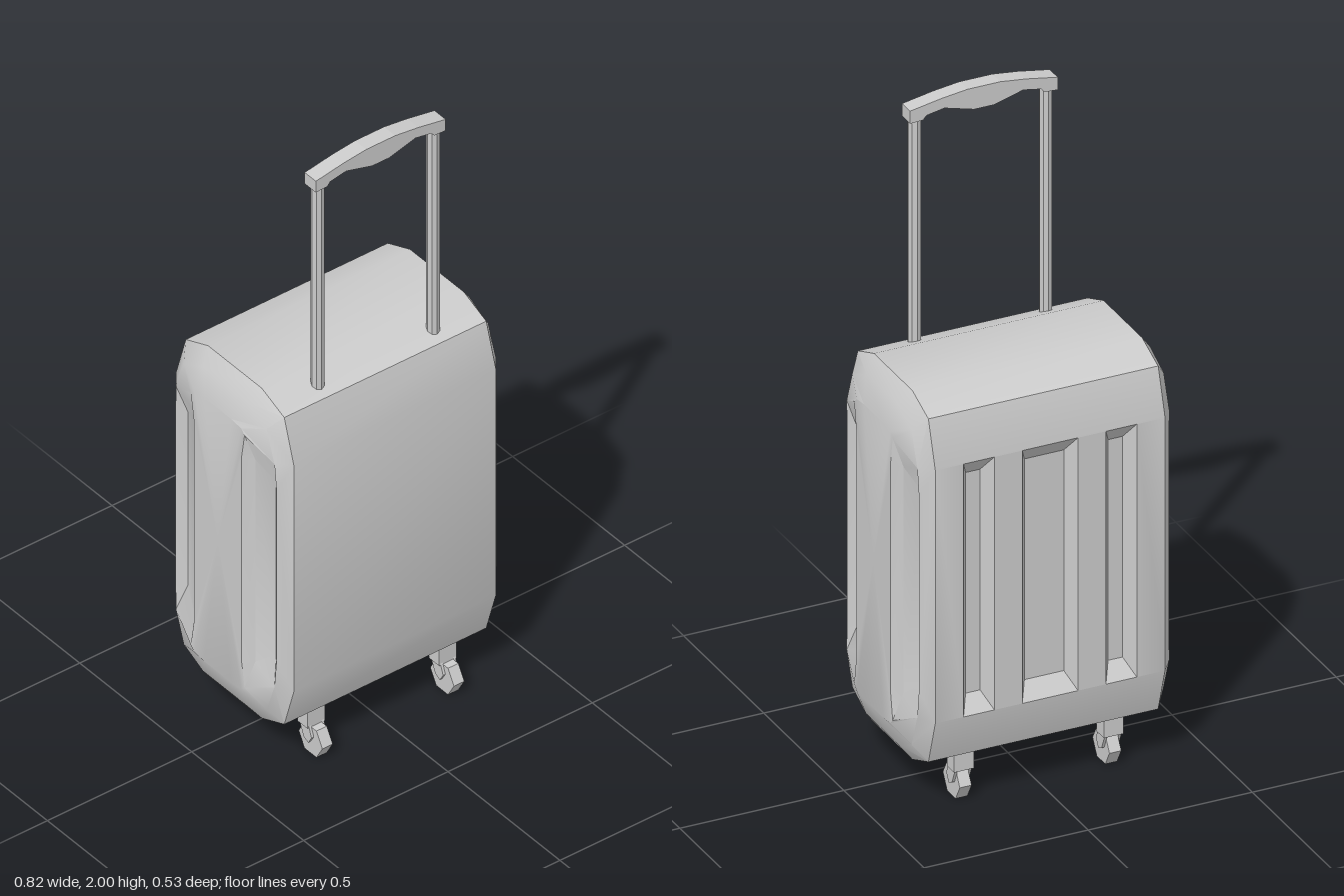
import * as THREE from 'three';
import { toCreasedNormals } from 'three/addons/utils/BufferGeometryUtils.js';

const material = new THREE.MeshStandardMaterial({ color: 0xcccccc });
const V = (x, y, z) => new THREE.Vector3(x, y, z);
const MID = 0.6925; // mid height of the case

function add(parent, name, geometry, x = 0, y = 0, z = 0) {
  const mesh = new THREE.Mesh(geometry, material);
  mesh.name = name;
  mesh.position.set(x, y, z);
  parent.add(mesh);
  return mesh;
}

// Closed 12-point outline in z/y from one quarter, mirrored both ways.
// Edge 2-3 is the long front edge, edge 8-9 the long back edge.
function ring(x, quarter) {
  const up = quarter.map(([z, y]) => [z, 2 * MID - y]).reverse();
  const half = [...quarter, ...up];
  const back = half.map(([z, y]) => [-z, y]).reverse();
  return [...half, ...back].map(([z, y]) => V(x, y, z));
}

// Collects convex polygons, turning each towards a given direction.
function surface() {
  const data = [];
  return {
    face(dir, ...p) {
      for (let i = 1; i < p.length - 1; i++) {
        const t = [p[0], p[i], p[i + 1]];
        const n = t[1].clone().sub(t[0]).cross(t[2].clone().sub(t[0]));
        if (n.dot(dir) < 0) t.reverse();
        t.forEach(v => data.push(v.x, v.y, v.z));
      }
    },
    build() {
      const g = new THREE.BufferGeometry();
      g.setAttribute('position', new THREE.Float32BufferAttribute(data, 3));
      return toCreasedNormals(g, 0.5);
    },
  };
}

const OUTER = [[0.12, 0.12], [0.22, 0.16], [0.263, 0.30]];
const MIDDLE = [[0.10, 0.165], [0.185, 0.205], [0.22, 0.305]];
const INNER = [[0.06, 0.235], [0.105, 0.24], [0.12, 0.255]];

function caseShell() {
  const s = surface();
  const L = ring(-0.35, OUTER), R = ring(0.35, OUTER);
  for (let i = 0; i < 12; i++) {
    if (i === 8) continue; // the back is made with its recesses
    const j = (i + 1) % 12;
    const out = L[i].clone().add(L[j]).multiplyScalar(0.5).sub(V(-0.35, MID, 0));
    s.face(out, L[i], R[i], R[j], L[j]);
  }
  // back wall: flat strips alternating with sunken panels
  const xs = [-0.35, -0.264, -0.17, -0.085, 0.085, 0.17, 0.264, 0.35];
  const back = V(0, 0, -1);
  const rect = (x0, x1, inX, inY, z) => [
    V(x0 + inX, 0.30 + inY, z), V(x1 - inX, 0.30 + inY, z),
    V(x1 - inX, 1.085 - inY, z), V(x0 + inX, 1.085 - inY, z)];
  for (let i = 0; i < 7; i++) {
    const rim = rect(xs[i], xs[i + 1], 0, 0, -0.263);
    if (i % 2 === 0) { s.face(back, ...rim); continue; }
    const floor = rect(xs[i], xs[i + 1], 0.025, 0.05, -0.225);
    s.face(back, ...floor);
    for (let k = 0; k < 4; k++) {
      const n = (k + 1) % 4;
      s.face(back, rim[k], rim[n], floor[n], floor[k]);
    }
  }
  return s.build();
}

// Domed side with a tapering channel near the front and the back edge.
function sidePanel(side) {
  const s = surface(), dir = V(side, 0, 0);
  const A = ring(0.35 * side, OUTER), B = ring(0.384 * side, MIDDLE), C = ring(0.41 * side, INNER);
  const centre = V(0.41 * side, MID, 0);
  for (let i = 0; i < 12; i++) {
    const j = (i + 1) % 12;
    if (i !== 2 && i !== 8) {
      s.face(dir, A[i], A[j], B[j], B[i]);
      s.face(dir, B[i], B[j], C[j], C[i]);
      s.face(dir, centre, C[i], C[j]);
      continue;
    }
    const sz = Math.sign(A[i].z), sy = Math.sign(A[j].y - A[i].y);
    const pair = (x, z, h) => [V(x * side, MID - sy * h, z * sz), V(x * side, MID + sy * h, z * sz)];
    const rimOut = pair(0.381, 0.225, 0.30), floorOut = pair(0.36, 0.197, 0.30);
    const floorIn = pair(0.384, 0.135, 0.35), rimIn = pair(0.41, 0.106, 0.35);
    s.face(dir, A[i], A[j], rimOut[1], rimOut[0]);
    s.face(dir, rimOut[0], rimOut[1], floorOut[1], floorOut[0]);
    s.face(dir, floorOut[0], floorOut[1], floorIn[1], floorIn[0]);
    s.face(dir, floorIn[0], floorIn[1], rimIn[1], rimIn[0]);
    s.face(dir, centre, rimIn[0], rimIn[1]);
    [i, j].forEach((n, k) => { // tapered ends
      s.face(dir, A[n], B[n], rimOut[k]);
      s.face(dir, B[n], rimOut[k], floorOut[k]);
      s.face(dir, B[n], floorOut[k], floorIn[k], C[n]);
      s.face(dir, C[n], floorIn[k], rimIn[k]);
      s.face(dir, centre, C[n], rimIn[k]);
    });
  }
  return s.build();
}

// Swivel caster with a hexagonal wheel, placed at its stem.
function caster(x, z) {
  const g = new THREE.Group();
  g.name = 'caster';
  g.position.set(x, 0, z);
  add(g, 'casterStem', new THREE.BoxGeometry(0.06, 0.06, 0.045), 0, 0.122, 0);
  const wheel = new THREE.CylinderGeometry(0.053, 0.053, 0.036, 6).toNonIndexed();
  wheel.rotateZ(Math.PI / 2);
  wheel.computeVertexNormals();
  add(g, 'wheel', wheel, 0, 0.047, 0.02);
  // fork cheeks run down from the stem to the axle
  const cheek = new THREE.Shape([[-0.022, 0.1], [0.022, 0.1], [0.035, 0.065], [0.02, 0.04], [0, 0.05]]
    .map(([a, b]) => new THREE.Vector2(-a, b)));
  for (const side of [-1, 1]) {
    const geo = new THREE.ExtrudeGeometry(cheek, { depth: 0.008, bevelEnabled: false });
    geo.translate(0, 0, -0.004);
    geo.rotateY(Math.PI / 2);
    add(g, 'forkCheek', geo, side * 0.022, 0, 0);
  }
  return g;
}

export function createModel() {
  const model = new THREE.Group();
  model.name = 'suitcase';

  add(model, 'caseShell', caseShell());
  add(model, 'leftSide', sidePanel(1));
  add(model, 'rightSide', sidePanel(-1));

  // telescopic handle
  for (const side of [-1, 1]) {
    const pole = new THREE.CylinderGeometry(0.019, 0.019, 0.72, 8);
    add(model, 'handlePole', toCreasedNormals(pole, 0.5), side * 0.2, 1.59, 0.175);
  }
  const half = [[0.225, 1.973], [0.225, 1.934], [0.185, 1.936], [0.175, 1.948], [0.12, 1.958], [0.03, 1.933]];
  const top = [[-0.13, 1.99], [-0.05, 2], [0.05, 2], [0.13, 1.99]];
  const outline = [...half, ...half.map(([x, y]) => [-x, y]).reverse(), ...top];
  const grip = new THREE.ExtrudeGeometry(
    new THREE.Shape(outline.map(([x, y]) => new THREE.Vector2(x, y))),
    { depth: 0.05, bevelEnabled: false });
  add(model, 'handleGrip', grip, 0, 0, 0.15);

  for (const x of [-0.228, 0.228]) for (const z of [0.183, -0.17]) model.add(caster(x, z));
  return model;
}
